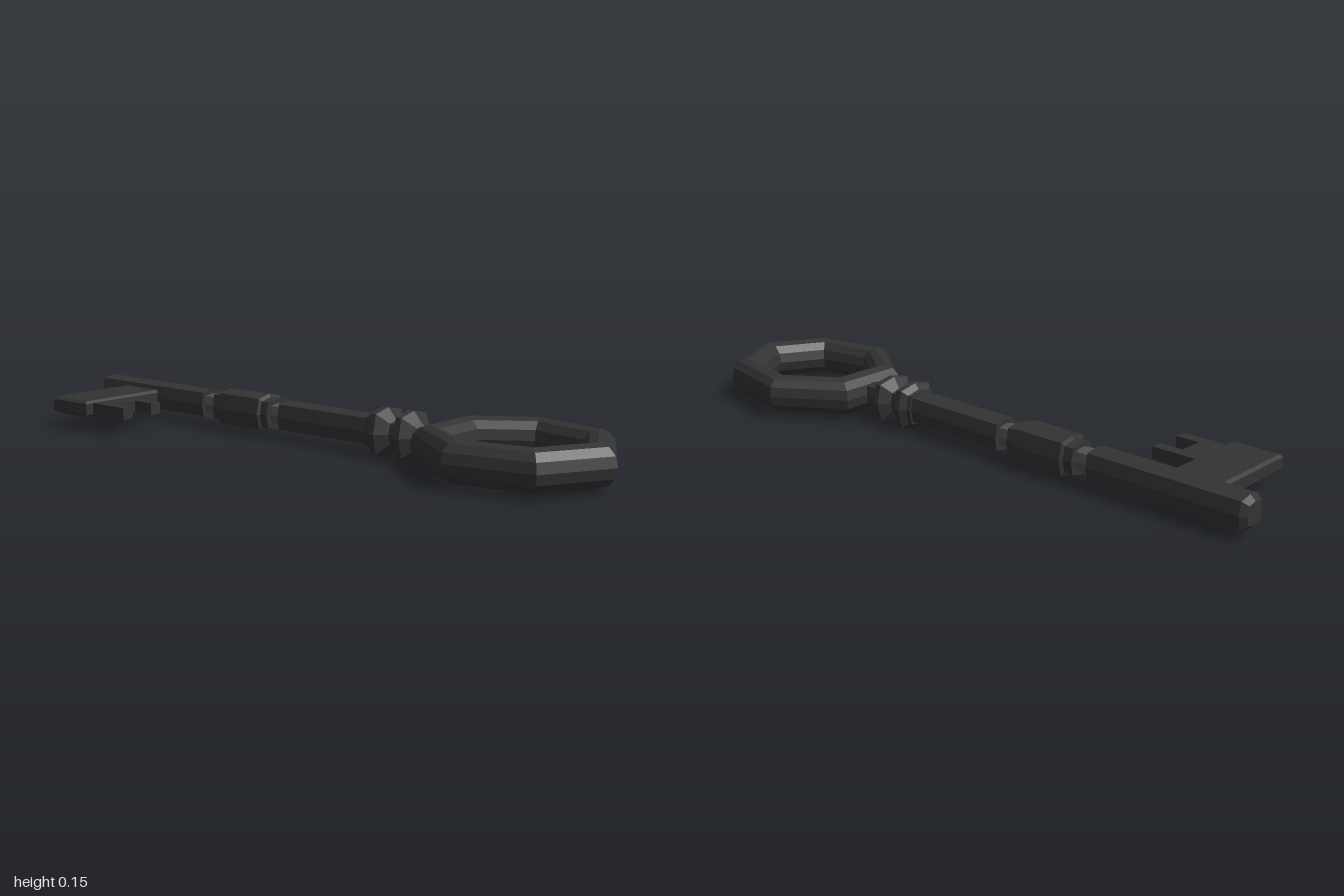
import * as THREE from 'three';

const AXIS_Y = 0.074, AXIS_Z = -0.048;

export function createModel() {
  const key = new THREE.Group();
  key.name = 'key';
  const dark = new THREE.MeshStandardMaterial({ color: 0x333333, flatShading: true });
  const pale = new THREE.MeshStandardMaterial({ color: 0x505050, flatShading: true });

  function add(name, geometry, material = dark) {
    const mesh = new THREE.Mesh(geometry, material);
    mesh.name = name;
    key.add(mesh);
    return mesh;
  }

  // Turned part along x from [x, radius] pairs, with eight slightly squared sides
  function turned(name, profile, material) {
    const geo = new THREE.LatheGeometry(profile.map(([x, r]) => new THREE.Vector2(r, x)), 8);
    const pos = geo.attributes.position;
    for (let i = 0; i < pos.count; i++) {
      const a = Math.atan2(pos.getZ(i), pos.getX(i));
      const s = 1 + 0.16 * Math.abs(Math.sin(2 * a));
      pos.setX(i, pos.getX(i) * s);
      pos.setZ(i, pos.getZ(i) * s);
    }
    geo.rotateZ(-Math.PI / 2);
    geo.translate(0, AXIS_Y, AXIS_Z);
    geo.computeVertexNormals();
    add(name, geo, material);
  }

  // Straight shaft sections
  turned('shaftTip', [[-1, 0], [-1, 0.034], [-0.983, 0.048], [-0.49, 0.048], [-0.49, 0]]);
  turned('shaft', [[-0.155, 0], [-0.155, 0.048], [0.2, 0.048], [0.2, 0]]);

  // Pale necks on both sides of the middle block
  for (const x of [-0.5, -0.21]) {
    turned('neck', [[x, 0.034], [x + 0.07, 0.034]], pale);
  }
  turned('middleBlock', [[-0.44, 0], [-0.44, 0.048], [-0.41, 0.048], [-0.405, 0.06],
    [-0.232, 0.06], [-0.227, 0.05], [-0.2, 0.05], [-0.2, 0]]);

  // Two flared collars and the neck into the bow
  turned('collars', [[0.195, 0], [0.195, 0.054], [0.208, 0.056], [0.224, 0.073], [0.245, 0.073],
    [0.275, 0.038], [0.295, 0.038], [0.318, 0.073], [0.338, 0.073], [0.362, 0.045],
    [0.375, 0.033], [0.45, 0.033], [0.45, 0]]);

  // Seven-sided bow
  const bow = new THREE.TorusGeometry(0.216, 0.05, 12, 7);
  bow.rotateX(Math.PI / 2);
  bow.scale(1.157, 1.22, 1);
  bow.translate(0.687, AXIS_Y, AXIS_Z);
  add('bow', bow);

  // Flat bit plate with a slim bevel
  const bevel = 0.008;
  const outline = new THREE.Shape([[-0.87, -0.05], [-0.705, -0.05], [-0.705, 0.305], [-0.87, 0.305]]
    .map(([x, z]) => new THREE.Vector2(
      x + (x < -0.8 ? bevel : -bevel), z + (z > 0 ? -bevel : bevel))));
  const plate = new THREE.ExtrudeGeometry(outline, {
    depth: 0.052 - 2 * bevel, bevelThickness: bevel, bevelSize: bevel, bevelSegments: 1,
  });
  plate.rotateX(Math.PI / 2);
  plate.translate(0, AXIS_Y + 0.026 - bevel, 0);
  add('bitPlate', plate);

  // Forked tooth beside the plate
  const fork = new THREE.Shape([[-0.715, 0.122], [-0.558, 0.122], [-0.558, 0.16], [-0.635, 0.16],
    [-0.635, 0.238], [-0.558, 0.238], [-0.558, 0.277], [-0.715, 0.277]]
    .map(([x, z]) => new THREE.Vector2(x, z)));
  const tooth = new THREE.ExtrudeGeometry(fork, { depth: 0.038, bevelEnabled: false });
  tooth.rotateX(Math.PI / 2);
  tooth.translate(0, AXIS_Y + 0.019, 0);
  add('bitTooth', tooth);

  return key;
}
